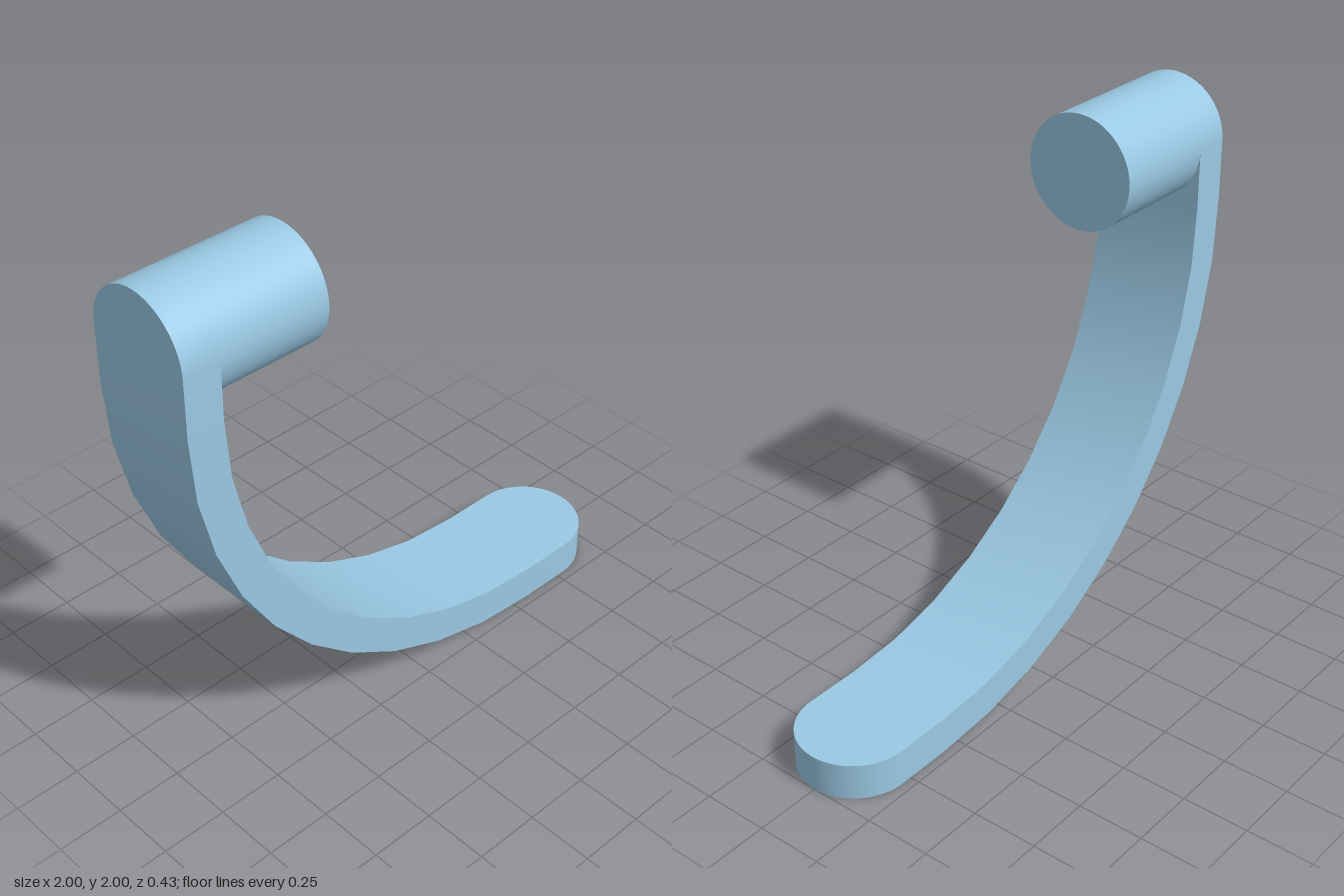
import * as THREE from 'three';
import { toCreasedNormals } from 'three/addons/utils/BufferGeometryUtils.js';

const R = 0.213;            // half width of the strap, radius of the peg
const OUTER = 1.57, INNER = 1.43;
const CX = 0.57, CY = 1.57; // centre of the bend
const END = 1 - R, TOP = 2 - R;
const STEPS = 16, BENDS = 10;

// Stations along the strap: outer point, inner point, half width
function strapStations() {
  const list = [];
  for (let i = 0; i <= STEPS; i++) { // rounded upper end
    const t = (i / STEPS) * Math.PI / 2, y = TOP + R * Math.cos(t);
    list.push([CX - OUTER, y, CX - INNER, y, R * Math.sin(t)]);
  }
  for (let i = 0; i <= BENDS; i++) { // quarter bend
    const a = (i / BENDS) * Math.PI / 2, c = Math.cos(a), s = Math.sin(a);
    list.push([CX - OUTER * c, CY - OUTER * s, CX - INNER * c, CY - INNER * s, R]);
  }
  for (let i = 0; i <= STEPS; i++) { // rounded foot end
    const t = (i / STEPS) * Math.PI / 2, x = END + R * Math.sin(t);
    list.push([x, CY - OUTER, x, CY - INNER, R * Math.cos(t)]);
  }
  return list;
}

// Loft a four-cornered section through the stations
function strapGeometry() {
  const positions = [], index = [];
  const stations = strapStations();
  stations.forEach(([ox, oy, ix, iy, w]) =>
    positions.push(ox, oy, w, ix, iy, w, ix, iy, -w, ox, oy, -w));
  for (let s = 0; s < stations.length - 1; s++) {
    for (let k = 0; k < 4; k++) {
      const a = s * 4 + k, b = s * 4 + (k + 1) % 4;
      index.push(a, a + 4, b, b, a + 4, b + 4);
    }
  }
  const g = new THREE.BufferGeometry();
  g.setAttribute('position', new THREE.Float32BufferAttribute(positions, 3));
  g.setIndex(index);
  return toCreasedNormals(g, 0.6);
}

export function createModel() {
  const group = new THREE.Group();
  group.name = 'curvedHook';
  const material = new THREE.MeshStandardMaterial({ color: 0x9ac8e3 });

  const strap = new THREE.Mesh(strapGeometry(), material);
  strap.name = 'curvedStrap';
  group.add(strap);

  // Round peg standing out from the upper end of the strap
  const x0 = CX - INNER, x1 = -0.43;
  const peg = new THREE.Mesh(new THREE.CylinderGeometry(R, R, x1 - x0, STEPS * 4), material);
  peg.name = 'peg';
  peg.rotation.z = -Math.PI / 2;
  peg.position.set((x0 + x1) / 2, TOP, 0);
  group.add(peg);

  return group;
}
